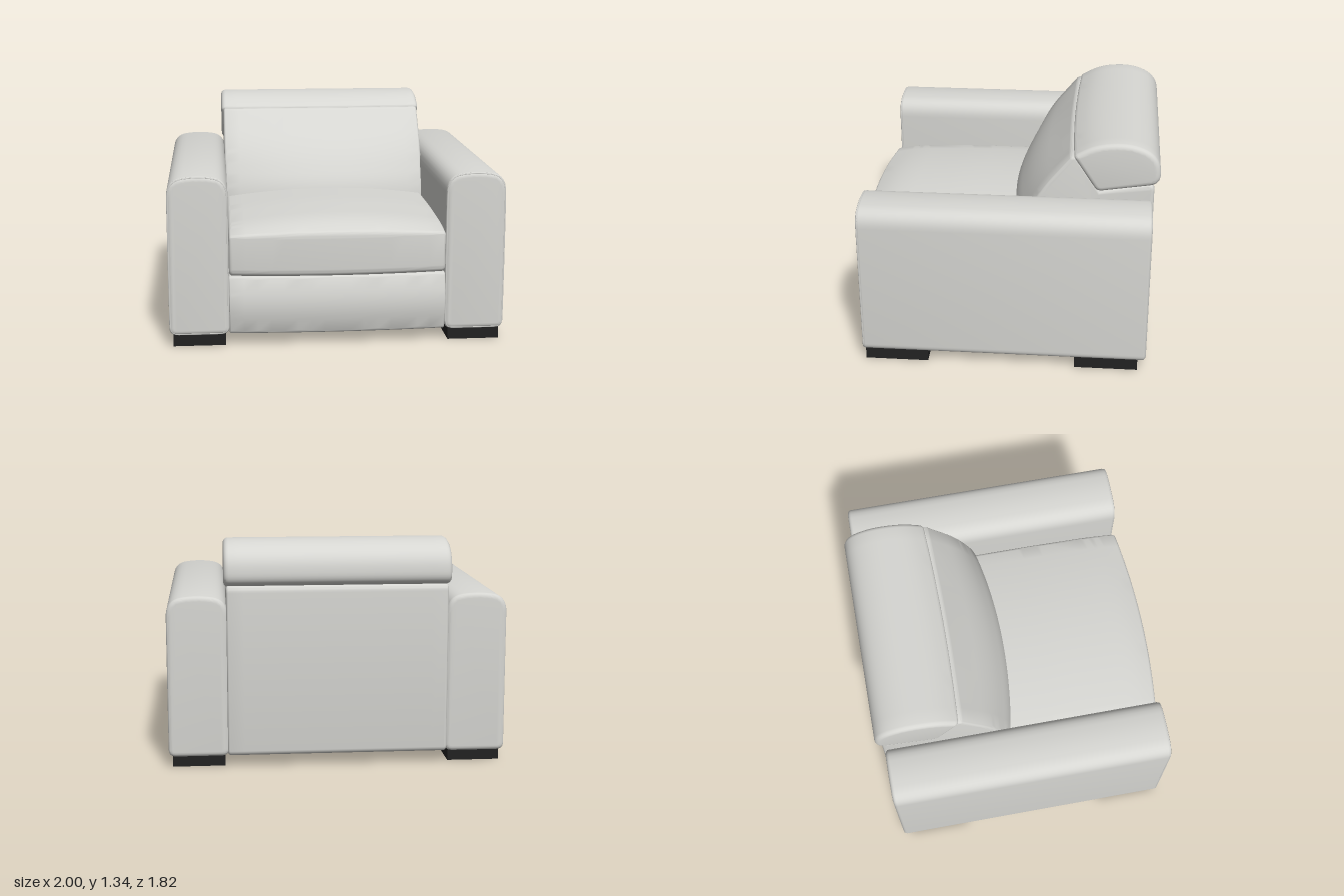
import * as THREE from 'three';
import { toCreasedNormals } from 'three/addons/utils/BufferGeometryUtils.js';

const leather = new THREE.MeshStandardMaterial({ color: 0xd6d6d2 });
leather.name = 'light grey leather';
const footBlack = new THREE.MeshStandardMaterial({ color: 0x222222 });
footBlack.name = 'black feet';

// Closed outline from corners [a, b, rounding]
function roundedShape(corners) {
  const shape = new THREE.Shape();
  const n = corners.length;
  const toward = (p, q, d) => {
    const len = Math.hypot(q[0] - p[0], q[1] - p[1]);
    const t = Math.min(d / len, 0.5);
    return [p[0] + (q[0] - p[0]) * t, p[1] + (q[1] - p[1]) * t];
  };
  corners.forEach((c, i) => {
    const start = toward(c, corners[(i + n - 1) % n], c[2]);
    const end = toward(c, corners[(i + 1) % n], c[2]);
    if (i === 0) shape.moveTo(...start); else shape.lineTo(...start);
    if (c[2] > 0) shape.quadraticCurveTo(c[0], c[1], ...end);
  });
  shape.closePath();
  return shape;
}

// Soft-edged block, extruded along local z and centred there
function softBlock(corners, length, bevelSize, bevelThickness, steps) {
  const depth = length - 2 * bevelThickness;
  const geo = new THREE.ExtrudeGeometry(roundedShape(corners), {
    depth, steps, curveSegments: 8,
    bevelEnabled: true, bevelSize, bevelThickness, bevelOffset: -bevelSize, bevelSegments: 4,
  });
  return geo.translate(0, 0, -depth / 2);
}

// Cushion with a (z, y) side outline spanning x, bulged by a rule of (p, u), u = x / half width
function cushion(name, corners, halfWidth, bevel, bulge) {
  const geo = softBlock(corners, halfWidth * 2, bevel, bevel, 16).rotateY(-Math.PI / 2);
  const pos = geo.attributes.position;
  const p = new THREE.Vector3();
  for (let i = 0; i < pos.count; i++) {
    p.fromBufferAttribute(pos, i);
    bulge(p, p.x / halfWidth);
    pos.setXYZ(i, p.x, p.y, p.z);
  }
  const mesh = new THREE.Mesh(toCreasedNormals(geo, 0.65), leather);
  mesh.name = name;
  return mesh;
}

export function createModel() {
  const model = new THREE.Group();
  model.name = 'armchair';
  const smooth = THREE.MathUtils.smoothstep;

  // Arms with a domed top, front piping and two block feet each
  for (const side of [-1, 1]) {
    const arm = new THREE.Group();
    arm.name = side > 0 ? 'leftArm' : 'rightArm';
    const half = 0.178;
    const outline = [
      [-half, 0.07, 0.045], [half, 0.07, 0.045], [half, 1.005, 0.1],
      [0, 1.03, 0.08], [-half, 1.005, 0.1],
    ];
    const body = new THREE.Mesh(
      toCreasedNormals(softBlock(outline, 1.72, 0.028, 0.022, 1), 0.65), leather);
    body.name = 'armBody';
    body.position.z = -0.01;
    arm.add(body);

    const path = roundedShape(outline).getPoints(8)
      .map(p => new THREE.Vector3(p.x * 0.96, 0.55 + (p.y - 0.55) * 0.985, 0.84));
    if (path[0].distanceTo(path[path.length - 1]) < 1e-6) path.pop();
    const curve = new THREE.CatmullRomCurve3(path, true);
    const piping = new THREE.Mesh(new THREE.TubeGeometry(curve, 120, 0.006, 6, true), leather);
    piping.name = 'armPiping';
    arm.add(piping);

    for (const z of [0.64, -0.63]) {
      const foot = new THREE.Mesh(new THREE.BoxGeometry(0.31, 0.072, 0.38), footBlack);
      foot.name = 'foot';
      foot.position.set(0, 0.036, z);
      arm.add(foot);
    }
    arm.position.x = side * (1 - half);
    model.add(arm);
  }

  // Front panel below the seat, gently bowed
  model.add(cushion('frontPanel', [
    [0.79, 0.07, 0], [0.86, 0.07, 0.02], [0.9, 0.25, 0.12], [0.86, 0.42, 0.02], [0.79, 0.42, 0],
  ], 0.645, 0.01, (p, u) => { if (p.z > 0.82) p.z -= 0.025 * u * u; }));

  // Seat cushion: crowned top and bowed front
  model.add(cushion('seatCushion', [
    [-0.3, 0.425, 0], [0.86, 0.425, 0.045], [0.865, 0.67, 0.02],
    [0.7, 0.697, 0.1], [0.3, 0.712, 0.1], [-0.3, 0.712, 0],
  ], 0.643, 0.022, (p, u) => {
    const crown = 1 - u * u;
    p.z += 0.045 * crown * smooth(p.z, 0.3, 0.84);
    p.y += 0.06 * crown * smooth(p.y, 0.64, 0.71);
  }));

  // Backrest block with a sloping, bowed front
  model.add(cushion('backrest', [
    [-0.88, 0.07, 0.04], [-0.88, 1.09, 0.05], [-0.56, 1.03, 0], [-0.42, 1.25, 0.02],
    [-0.385, 1.25, 0.02], [-0.2, 1.02, 0.12], [-0.085, 0.75, 0.12], [-0.07, 0.07, 0],
  ], 0.652, 0.02, (p, u) => {
    if (p.z > -0.45) p.z += (1 - u * u) * (0.08 - 0.065 * smooth(p.y, 0.75, 1.25));
  }));

  // Headrest roll overhanging the back
  model.add(cushion('headrest', [
    [-0.54, 1.03, 0.035], [-0.395, 1.255, 0.03], [-0.54, 1.335, 0.1], [-0.75, 1.345, 0.1],
    [-0.905, 1.265, 0.09], [-0.918, 1.09, 0.07],
  ], 0.665, 0.03, (p, u) => {
    p.z += 0.02 * (1 - u * u) * smooth(p.z, -0.6, -0.42);
  }));

  return model;
}
